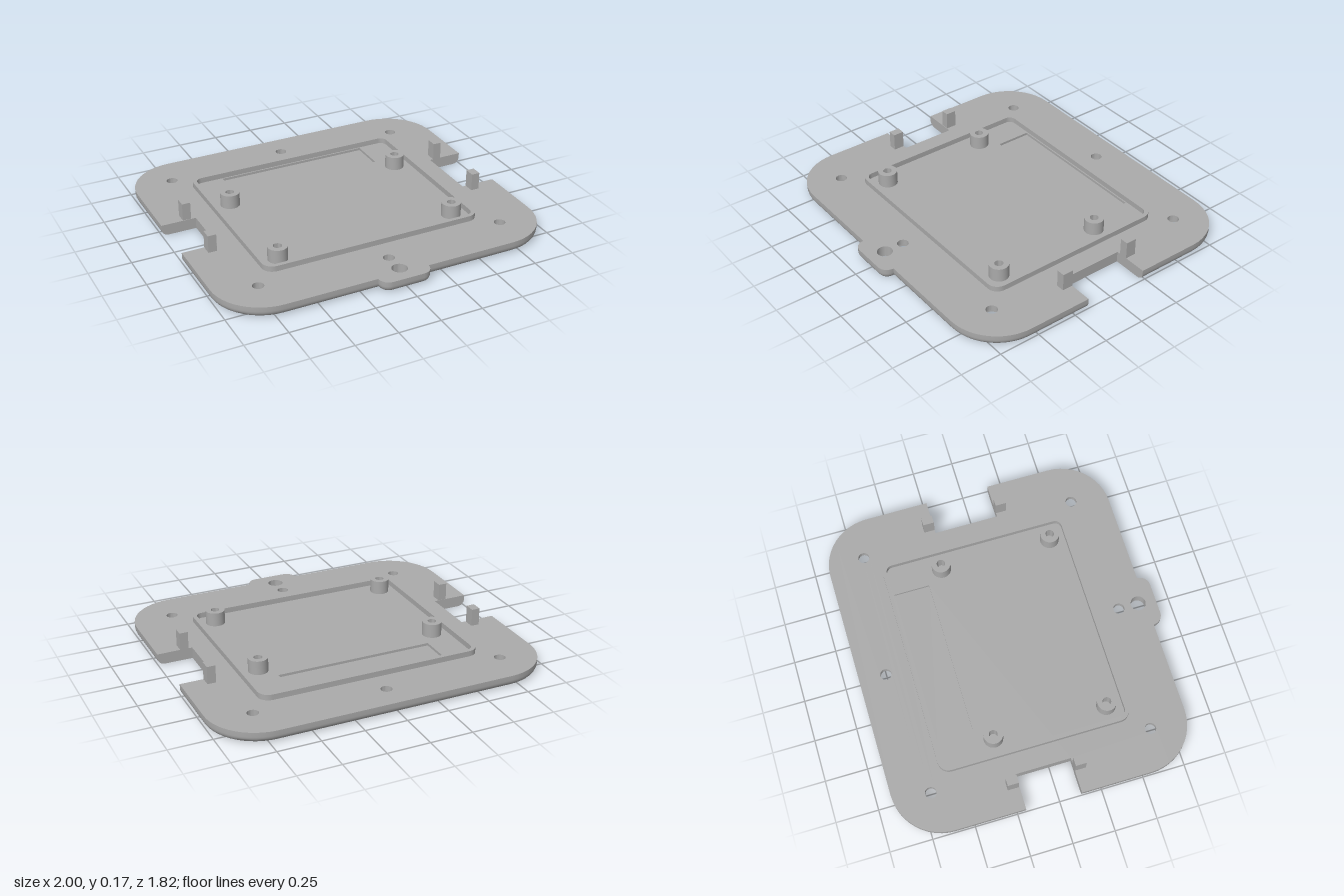
import * as THREE from 'three';
import { toCreasedNormals } from 'three/addons/utils/BufferGeometryUtils.js';

const TOP = 0.067, FILLET = 0.04;
const grey = new THREE.MeshStandardMaterial({ color: 0xaaaaaa, side: THREE.DoubleSide });
grey.name = 'plain grey';

// Outlines are lists of (x, z) points
const P = (x, z) => new THREE.Vector2(x, z);
const arc = (cx, cz, r, fromDeg, toDeg, n = 12) => Array.from({ length: n + 1 }, (_, i) => {
  const a = THREE.MathUtils.degToRad(fromDeg + (toDeg - fromDeg) * i / n);
  return P(cx + r * Math.cos(a), cz + r * Math.sin(a));
});
const circle = (x, z, r) => arc(x, z, r, 0, 360, 32).slice(0, -1);
const roundRect = (x0, x1, z0, z1, r) => [
  ...arc(x1 - r, z1 - r, r, 0, 90, 6), ...arc(x0 + r, z1 - r, r, 90, 180, 6),
  ...arc(x0 + r, z0 + r, r, 180, 270, 6), ...arc(x1 - r, z0 + r, r, 270, 360, 6)];
const rect = (x0, x1, z0, z1) => [P(x1, z0), P(x1, z1), P(x0, z1), P(x0, z0)];

// Plate outline inset by d; the side notches keep their size
const plateOutline = d => [
  ...arc(0.7, 0.548, 0.3 - d, 0, 90),
  P(0.155 - d, 0.848 - d),
  ...arc(0.095, 0.85, 0.06 - d, 0, 90, 6),
  ...arc(-0.095, 0.85, 0.06 - d, 90, 180, 6),
  P(-0.155 + d, 0.848 - d),
  ...arc(-0.7, 0.548, 0.3 - d, 90, 180),
  P(-1 + d, 0.13), P(-0.79, 0.13), P(-0.79, -0.2), P(-1 + d, -0.2),
  ...arc(-0.7, -0.612, 0.3 - d, 180, 270),
  ...arc(0.7, -0.612, 0.3 - d, 270, 360),
  P(1 - d, -0.23), P(0.79, -0.23), P(0.79, 0.16), P(1 - d, 0.16)];

// Flat face with holes, facing up or down
function cap(points, holes, y, up) {
  const s = up ? -1 : 1;
  const flip = list => list.map(p => P(p.x, p.y * s));
  const shape = new THREE.Shape(flip(points));
  shape.holes = holes.map(h => new THREE.Path(flip(h)));
  return new THREE.ShapeGeometry(shape).rotateX(s * Math.PI / 2).translate(0, y, 0);
}

// Wall through a stack of outlines, each { pts, y }
function wall(levels, inward = false) {
  const pos = [], index = [], n = levels[0].pts.length;
  for (const { pts, y } of levels) for (const p of pts) pos.push(p.x, y, p.y);
  for (let k = 0; k < levels.length - 1; k++) for (let i = 0; i < n; i++) {
    const a = k * n + i, b = k * n + (i + 1) % n, c = b + n, d = a + n;
    if (inward) index.push(a, c, d, a, b, c);
    else index.push(a, d, c, a, c, b);
  }
  const g = new THREE.BufferGeometry();
  g.setAttribute('position', new THREE.Float32BufferAttribute(pos, 3));
  g.setIndex(index);
  return toCreasedNormals(g, 0.6);
}

export function createModel() {
  const model = new THREE.Group();
  const add = (name, geometry, parent = model) => {
    const mesh = new THREE.Mesh(geometry, grey);
    mesh.name = name;
    parent.add(mesh);
    return mesh;
  };

  // Base plate with rounded lower edge
  const plate = new THREE.Group();
  plate.name = 'basePlate';
  model.add(plate);
  const screws = [[-0.755, -0.69], [0.755, -0.69], [0, -0.752], [-0.755, 0.623], [0.755, 0.623], [0, 0.682]];
  const tabHole = circle(0, 0.803, 0.045);
  const recess = rect(-0.47, 0.47, -0.575, -0.36);
  const levels = [];
  for (let i = 0; i <= 6; i++) {
    const a = i / 6 * Math.PI / 2;
    levels.push({ pts: plateOutline(FILLET * (1 - Math.sin(a))), y: FILLET * (1 - Math.cos(a)) });
  }
  levels.push({ pts: plateOutline(0), y: TOP });
  add('plateEdge', wall(levels), plate);
  add('plateTop', cap(plateOutline(0),
    [...screws.map(([x, z]) => circle(x, z, 0.033)), tabHole, recess], TOP, true), plate);
  add('plateBottom', cap(plateOutline(FILLET),
    [...screws.map(([x, z]) => circle(x, z, 0.06)), tabHole], 0, false), plate);

  // Screw holes, counterbored from below
  for (const [x, z] of screws) {
    const wide = circle(x, z, 0.06), narrow = circle(x, z, 0.033);
    add('screwHole', wall([{ pts: wide, y: 0 }, { pts: wide, y: 0.035 },
      { pts: narrow, y: 0.035 }, { pts: narrow, y: TOP }], true), plate);
  }
  add('tabHole', wall([{ pts: tabHole, y: 0 }, { pts: tabHole, y: TOP }], true), plate);

  // Shallow pocket inside the rim
  add('recessWall', wall([{ pts: recess, y: TOP - 0.015 }, { pts: recess, y: TOP }], true), plate);
  add('recessFloor', cap(recess, [], TOP - 0.015, true), plate);

  // Raised rim
  const outer = roundRect(-0.67, 0.67, -0.607, 0.537, 0.065);
  const inner = roundRect(-0.645, 0.645, -0.583, 0.513, 0.04);
  add('rim', wall([{ pts: outer, y: TOP }, { pts: outer, y: 0.1 },
    { pts: inner, y: 0.1 }, { pts: inner, y: TOP }]));

  // Mounting bosses with blind holes
  for (const x of [-0.55, 0.55]) for (const z of [-0.26, 0.42]) {
    const boss = add('mountingBoss', toCreasedNormals(new THREE.LatheGeometry(
      [P(0.057, TOP), P(0.057, 0.15), P(0.025, 0.15), P(0.025, TOP + 0.002), P(0, TOP + 0.002)], 32), 0.6));
    boss.position.set(x, 0, z);
  }

  // Upright pegs beside the notches
  for (const [x, z] of [[-0.842, -0.236], [-0.842, 0.163], [0.837, -0.262], [0.837, 0.191]])
    add('peg', new THREE.BoxGeometry(0.05, 0.105, 0.065)).position.set(x, TOP + 0.0525, z);

  return model;
}
